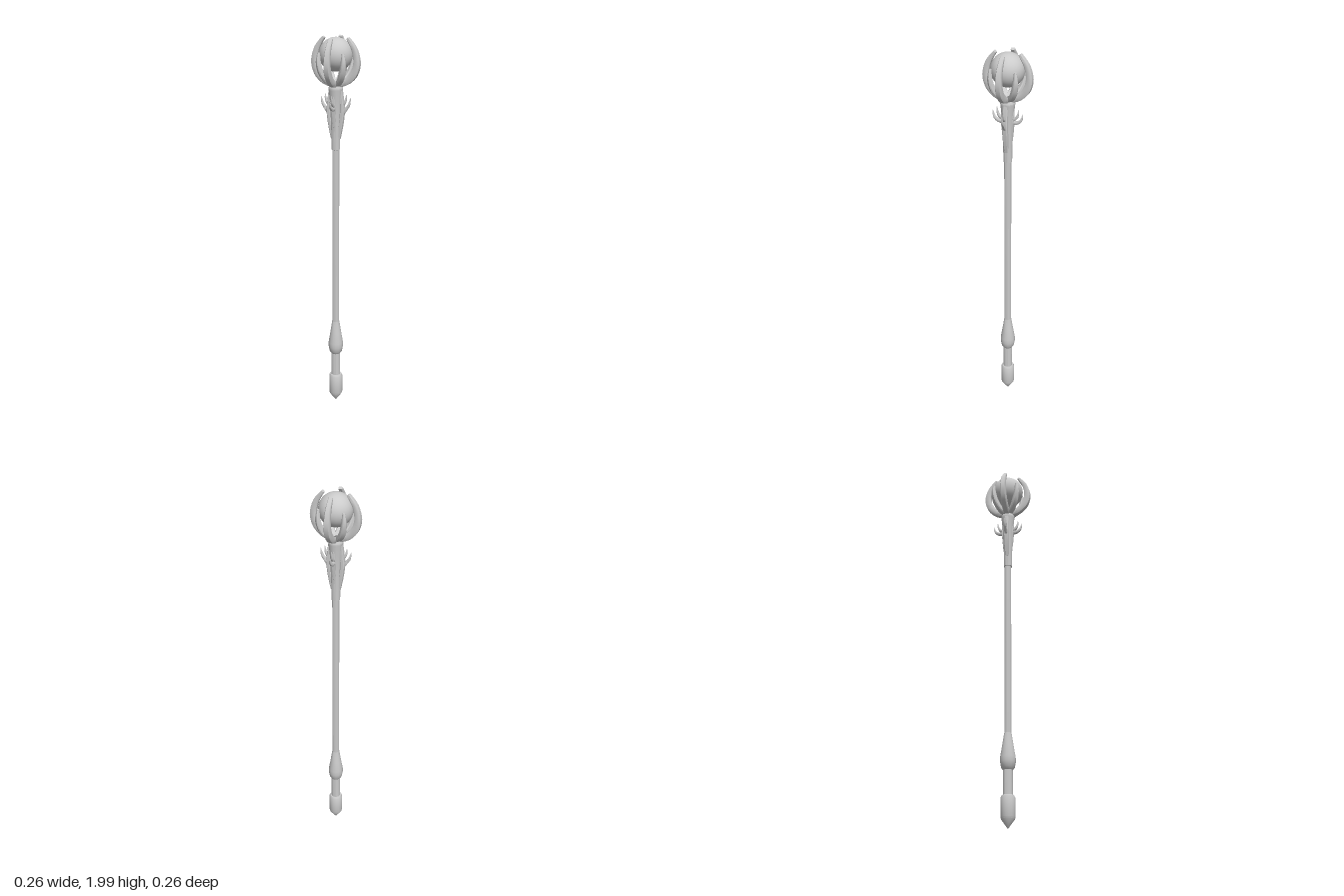
import * as THREE from 'three';
import { toCreasedNormals } from 'three/addons/utils/BufferGeometryUtils.js';

const grey = new THREE.MeshStandardMaterial({ color: 0xcccccc });
const V = (x, y) => new THREE.Vector2(x, y);

function mesh(name, geometry) {
  const m = new THREE.Mesh(geometry, grey);
  m.name = name;
  return m;
}

function lathe(name, points, sides) {
  const geo = new THREE.LatheGeometry(points.map(p => V(...p)), sides);
  return mesh(name, toCreasedNormals(geo, 0.6));
}

// Sweeps a bevelled section along a path of [radius, y, half width, half thickness].
function sweep(path, steps) {
  const curve = new THREE.SplineCurve(path.map(p => V(p[0], p[1])));
  const section = [[1, 0.6], [0.7, 1], [-0.7, 1], [-1, 0.6], [-1, -0.6], [-0.7, -1], [0.7, -1], [1, -0.6]];
  const n = section.length, pos = [], idx = [];
  for (let i = 0; i <= steps; i++) {
    const t = i / steps, p = curve.getPoint(t), d = curve.getTangent(t);
    const f = t * (path.length - 1), k = Math.min(Math.floor(f), path.length - 2);
    const w = THREE.MathUtils.lerp(path[k][2], path[k + 1][2], f - k);
    const h = THREE.MathUtils.lerp(path[k][3], path[k + 1][3], f - k);
    for (const [a, b] of section) pos.push(p.x + d.y * b * h, p.y - d.x * b * h, a * w);
  }
  for (let i = 0; i < steps; i++) {
    for (let j = 0; j < n; j++) {
      const a = i * n + j, b = i * n + (j + 1) % n;
      idx.push(a, b, a + n, b, b + n, a + n);
    }
  }
  const last = steps * n;
  for (let j = 1; j < n - 1; j++) idx.push(0, j + 1, j, last, last + j, last + j + 1);
  const geo = new THREE.BufferGeometry();
  geo.setAttribute('position', new THREE.Float32BufferAttribute(pos, 3));
  geo.setIndex(idx);
  return toCreasedNormals(geo, 0.7);
}

// Places copies of a swept part at the given angles around the staff.
function ring(group, name, geometry, angles) {
  for (const a of angles) {
    const m = mesh(name, geometry);
    m.rotation.y = a;
    group.add(m);
  }
}

export function createModel() {
  const staff = new THREE.Group();
  staff.name = 'staff';
  const quarter = Math.PI / 2;
  const cross = [0, 1, 2, 3].map(i => i * quarter);
  const diagonal = cross.map(a => a + quarter / 2);
  const sides = [0, Math.PI], frontBack = [quarter, -quarter];

  // Pointed foot, grip and shaft
  staff.add(lathe('footCap', [[0, 0.005], [0.034, 0.052], [0.036, 0.06], [0.036, 0.158], [0.031, 0.168], [0, 0.168]], 16));
  staff.add(lathe('lowerGrip', [
    [0.024, 0.16], [0.024, 0.295], [0.034, 0.308], [0.039, 0.335], [0.039, 0.36], [0.029, 0.42], [0.019, 0.485]
  ], 16));
  staff.add(lathe('shaft', [[0.018, 0.47], [0.018, 1.45]], 12));

  // Flared neck and the collar below the orb
  staff.add(lathe('neck', [
    [0.017, 1.432], [0.022, 1.434], [0.023, 1.52], [0.026, 1.6], [0.03, 1.68], [0.036, 1.735], [0.037, 1.745], [0.032, 1.757], [0, 1.76]
  ], 14));

  // Side vines that widen the neck
  const vine = sweep([[0.016, 1.49, 0.009, 0.008], [0.028, 1.56, 0.013, 0.01],
    [0.036, 1.63, 0.014, 0.01], [0.033, 1.69, 0.013, 0.008], [0.028, 1.745, 0.01, 0.006]], 14);
  ring(staff, 'sideVine', vine, sides);

  // Thorns curling up: rising from the side vines, hooked on the front and back
  const sideThorn = sweep([[0.03, 1.61, 0.009, 0.009], [0.052, 1.64, 0.008, 0.008],
    [0.07, 1.665, 0.006, 0.006], [0.079, 1.7, 0.001, 0.001]], 10);
  const hookThorn = sweep([[0.022, 1.643, 0.009, 0.009], [0.05, 1.647, 0.008, 0.008],
    [0.07, 1.663, 0.006, 0.006], [0.079, 1.695, 0.001, 0.001]], 10);
  const shortThorn = sweep([[0.024, 1.66, 0.008, 0.008], [0.042, 1.668, 0.007, 0.007],
    [0.053, 1.688, 0.005, 0.005], [0.057, 1.715, 0.001, 0.001]], 10);
  ring(staff, 'sideThorn', sideThorn, sides);
  ring(staff, 'hookThorn', hookThorn, frontBack);
  ring(staff, 'shortThorn', shortThorn, cross);

  // Pointed leaf on the front and back of the neck
  const leaf = sweep([[0.021, 1.53, 0.001, 0.003], [0.025, 1.59, 0.008, 0.004],
    [0.029, 1.65, 0.012, 0.004], [0.031, 1.71, 0.001, 0.002]], 12);
  ring(staff, 'neckLeaf', leaf, frontBack);

  // Orb
  const orb = mesh('orb', new THREE.SphereGeometry(0.084, 32, 20));
  orb.position.y = 1.911;
  staff.add(orb);

  // Four large claws around the orb
  const claw = sweep([[0.015, 1.762, 0.015, 0.013], [0.06, 1.782, 0.016, 0.017],
    [0.096, 1.82, 0.016, 0.018], [0.112, 1.875, 0.015, 0.016],
    [0.098, 1.94, 0.013, 0.013], [0.063, 1.993, 0.01, 0.007]], 20);
  ring(staff, 'largeClaw', claw, cross);

  // Four small claws hugging the orb on the diagonals
  const smallClaw = sweep([[0.015, 1.762, 0.012, 0.01], [0.047, 1.783, 0.015, 0.013],
    [0.077, 1.823, 0.015, 0.013], [0.092, 1.875, 0.012, 0.011], [0.09, 1.925, 0.005, 0.005]], 14);
  ring(staff, 'smallClaw', smallClaw, diagonal);

  return staff;
}
